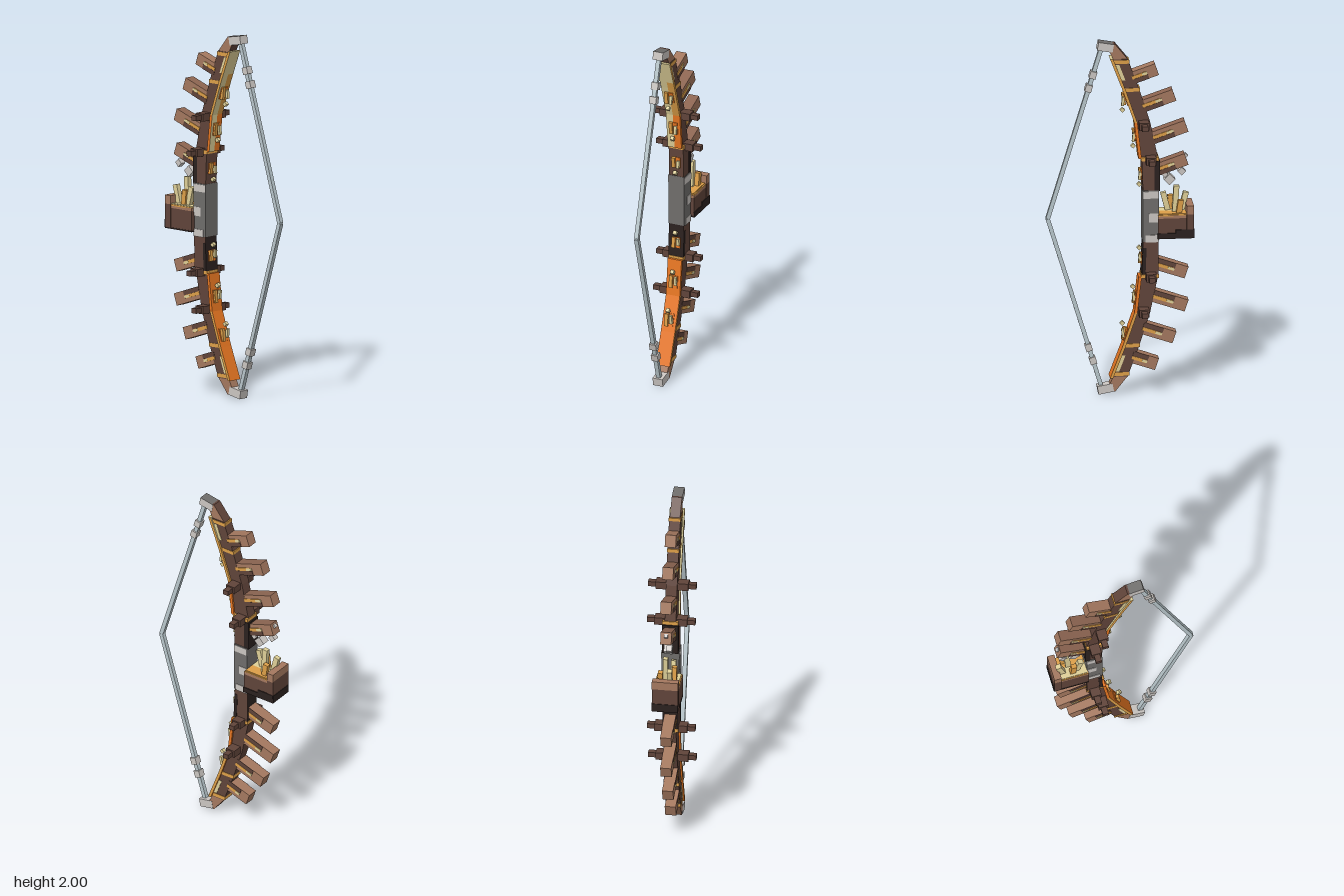
import * as THREE from 'three';

const mat = (name, color) => {
  const m = new THREE.MeshStandardMaterial({ color });
  m.name = name;
  return m;
};

// limb outline: [distance from the middle, outer x, inner x]
const PROFILE = [
  [0, -0.21, -0.125], [0.15, -0.21, -0.125], [0.335, -0.208, -0.118], [0.54, -0.165, -0.095],
  [0.73, -0.105, -0.03], [0.9, -0.043, 0.035], [0.985, 0.025, 0.075],
];
function at(d) {
  let i = 1;
  while (i < PROFILE.length - 1 && PROFILE[i][0] < d) i++;
  const [a, b] = [PROFILE[i - 1], PROFILE[i]];
  const t = (d - a[0]) / (b[0] - a[0]);
  return { out: a[1] + (b[1] - a[1]) * t, inn: a[2] + (b[2] - a[2]) * t };
}

export function createModel() {
  const M = {
    dark: mat('darkWood', 0x60443a),
    mid: mat('midWood', 0x8c6551),
    light: mat('lightWood', 0xa4785f),
    black: mat('charredWood', 0x2b211f),
    tan: mat('amber', 0xdd9f48),
    orange: mat('orange', 0xe87722),
    cream: mat('cream', 0xdfd098),
    grey: mat('darkMetal', 0x6f6d6b),
    pale: mat('paleMetal', 0xcbc6c2),
    cord: mat('cord', 0xb9c7cc),
  };
  const root = new THREE.Group();
  root.name = 'bow';

  const box = (name, m, w, h, d, x, y, z = 0, rot = 0, parent = root) => {
    const mesh = new THREE.Mesh(new THREE.BoxGeometry(w, h, d), m);
    mesh.name = name;
    mesh.position.set(x, y, z);
    mesh.rotation.z = rot;
    parent.add(mesh);
  };
  // curved piece of the limb between two distances; f picks its outer and inner x
  const piece = (name, m, s, d0, d1, depth, f, z = 0) => {
    const ds = [d0, ...PROFILE.map(p => p[0]).filter(d => d > d0 + 1e-4 && d < d1 - 1e-4), d1];
    const left = ds.map(d => new THREE.Vector2(f(at(d))[0], 1 + s * d));
    const right = ds.map(d => new THREE.Vector2(f(at(d))[1], 1 + s * d)).reverse();
    const geo = new THREE.ExtrudeGeometry(new THREE.Shape([...left, ...right]), { depth, bevelEnabled: false });
    geo.translate(0, 0, z - depth / 2);
    const mesh = new THREE.Mesh(geo, m);
    mesh.name = name;
    root.add(mesh);
  };
  const whole = p => [p.out, p.inn];
  const strip = p => [p.inn, p.inn + 0.017];
  const innerEdge = p => [p.inn - 0.02, p.inn];

  // grip with worn pale patches
  box('grip', M.grey, 0.088, 0.29, 0.094, -0.167, 1.01);
  for (const z of [-0.0475, 0.0475]) {
    box('gripPatch', M.pale, 0.085, 0.04, 0.004, -0.167, 1.13, z);
    box('gripPatch', M.pale, 0.05, 0.05, 0.004, -0.183, 1.0, z);
    box('gripPatch', M.pale, 0.07, 0.04, 0.004, -0.173, 0.882, z);
  }

  for (const s of [1, -1]) {
    const up = s > 0;
    // wooden limb
    piece('innerLimb', [M.dark, up ? M.dark : M.black], s, 0.13, 0.335, 0.086, whole);
    piece('limb', M.dark, s, 0.335, 0.9, 0.062, whole);
    piece('limbTip', [M.light, up ? M.dark : M.light], s, 0.9, 0.985, 0.056, whole);
    piece('limbWear', M.cream, s, 0.78, 0.87, 0.066, innerEdge);

    // coloured strip on the string side, its upper half in two lengthwise colours
    if (up) {
      piece('stripEnd', [M.tan, M.cream], s, 0.77, 0.905, 0.082, strip);
      piece('stripFrontUpper', [M.tan, M.cream], s, 0.54, 0.77, 0.041, strip, 0.0205);
      piece('stripFrontLower', [M.orange, M.cream], s, 0.335, 0.54, 0.041, strip, 0.0205);
      piece('stripBackUpper', M.tan, s, 0.54, 0.77, 0.041, strip, -0.0205);
      piece('stripBackLower', M.orange, s, 0.335, 0.54, 0.041, strip, -0.0205);
    } else {
      piece('stripOuter', [M.tan, M.orange], s, 0.54, 0.905, 0.082, strip);
      piece('stripInner', M.orange, s, 0.335, 0.54, 0.082, strip);
      piece('charredEdge', M.black, s, 0.17, 0.32, 0.09, innerEdge);
    }

    // amber bands around the limb
    for (const [d, depth] of [[0.332, 0.088], [0.725, 0.066], [0.885, 0.066]]) {
      const p = at(d);
      box('band', M.tan, p.inn - p.out + 0.006, 0.02, depth, (p.out + p.inn) / 2, 1 + s * d);
    }

    // cross pins with collars
    for (const [d, x] of [[0.33, -0.167], [0.53, -0.128]]) {
      box('pin', M.dark, 0.033, 0.028, 0.264, x, 1 + s * d);
      box('pinCollar', M.dark, 0.055, 0.042, 0.18, x, 1 + s * d);
    }

    // pegs on the back, each with inlays on both sides
    for (const [x, d, len] of [[-0.202, 0.837, 0.16], [-0.297, 0.688, 0.205], [-0.363, 0.51, 0.215], [-0.363, 0.322, 0.2]]) {
      const peg = new THREE.Group();
      peg.name = 'peg';
      peg.position.set(x, 1 + s * d, 0);
      peg.rotation.z = -s * 0.33;
      root.add(peg);
      const top = up && d < 0.8 ? M.mid : M.light;
      box('pegBody', [M.light, M.light, top, M.light, M.light, M.light], len, 0.068, 0.06, len / 2, 0, 0, 0, peg);
      for (const z of [-0.031, 0.031]) {
        box('pegShade', M.dark, len * 0.55, 0.026, 0.004, len * 0.62, -s * 0.021, z, 0, peg);
        box('pegInlay', M.tan, len * 0.5, 0.018, 0.006, len * 0.64, s * 0.002, z, 0, peg);
        box('pegInlayTip', M.cream, len * 0.18, 0.014, 0.008, len * 0.44, s * 0.002, z, 0, peg);
      }
    }

    // small sprigs on the string side, each on an orange patch
    for (const [x, d, h, lift] of [[-0.02, 0.665, 0.07, 0.018], [-0.078, 0.46, 0.07, 0.018], [-0.112, 0.24, 0.06, 0.001]]) {
      const slope = Math.atan2(at(d + 0.03).inn - at(d - 0.03).inn, 0.06);
      box('sprigPatch', M.orange, 0.006, h, 0.05, at(d).inn + lift, 1 + s * d, 0, -s * slope);
      box('sprig', M.tan, 0.018, h, 0.02, x - 0.004, 1 + s * d, 0.012, -s * 0.12);
      box('sprigTwig', M.cream, 0.014, h * 0.7, 0.016, x + 0.002, 1 + s * (d - 0.008), -0.016, s * 0.1);
      box('sprigBud', M.cream, 0.02, 0.02, 0.02, x + 0.004, 1 + s * (d - 0.06), 0, Math.PI / 4);
    }

    // metal tip: pale sides, dark end face
    const end = up ? [M.pale, M.pale, M.grey, M.pale, M.pale, M.pale] : M.pale;
    box('tipCap', end, 0.085, 0.046, 0.058, 0.077, 1 + s * 0.969, 0, s * 0.18);

    // bowstring half with two clamps
    const dx = 0.295, dy = -s * 0.97, tilt = Math.atan2(-dx, dy);
    box('bowstring', M.cord, 0.023, Math.hypot(dx, dy), 0.024, 0.2425, 1 + s * 0.485, 0, tilt);
    box('clamp', M.pale, 0.036, 0.04, 0.04, 0.144, 1 + s * 0.81, 0, tilt);
    box('clamp', M.pale, 0.036, 0.04, 0.04, 0.168, 1 + s * 0.735, 0, tilt);
  }
  box('limbBacking', M.black, 0.03, 0.17, 0.09, -0.203, 1.235);

  // quiver box: charred base, walls, raised back rim
  box('boxFloor', M.dark, 0.19, 0.1, 0.13, -0.3, 0.945);
  box('boxBase', M.black, 0.196, 0.008, 0.14, -0.302, 0.889);
  box('boxBaseBack', M.black, 0.006, 0.045, 0.142, -0.4, 0.911);
  box('boxBaseSide', M.black, 0.2, 0.03, 0.006, -0.302, 0.902, -0.07);
  box('boxBaseStep', M.black, 0.1, 0.02, 0.006, -0.35, 0.926, -0.07);
  for (const z of [-0.061, 0.061]) {
    box('boxWall', M.dark, 0.16, 0.11, 0.014, -0.285, 0.945, z);
    box('boxWallTop', M.light, 0.16, 0.016, 0.014, -0.285, 1.008, z);
  }
  box('boxBack', M.dark, 0.04, 0.13, 0.142, -0.38, 0.957);
  box('boxBackRim', M.light, 0.04, 0.048, 0.144, -0.38, 1.044);
  box('fillFront', M.cream, 0.15, 0.03, 0.062, -0.285, 1.01, 0.031);
  box('fillBack', M.tan, 0.15, 0.03, 0.062, -0.285, 1.01, -0.031);
  box('fillEdge', M.tan, 0.155, 0.008, 0.136, -0.285, 1.016);

  // sticks standing in the box
  for (const [x, h, z, r, m] of [
    [-0.35, 0.12, 0.02, 0.25, M.cream], [-0.305, 0.165, -0.01, 0.06, M.cream],
    [-0.255, 0.12, 0.025, -0.25, M.cream], [-0.285, 0.1, 0.035, -0.1, M.tan], [-0.325, 0.09, -0.035, 0.15, M.tan],
  ]) box('stick', m, 0.03, h, 0.026, x, 1.005 + h / 2, z, r);

  // loose metal chips above the box
  for (const [x, y, w, z] of [[-0.272, 1.207, 0.045, 0], [-0.34, 1.245, 0.032, 0.015], [-0.245, 1.24, 0.026, -0.02], [-0.36, 1.335, 0.02, 0]])
    box('chip', M.pale, w, w, w, x, y, z, Math.PI / 4);

  return root;
}
